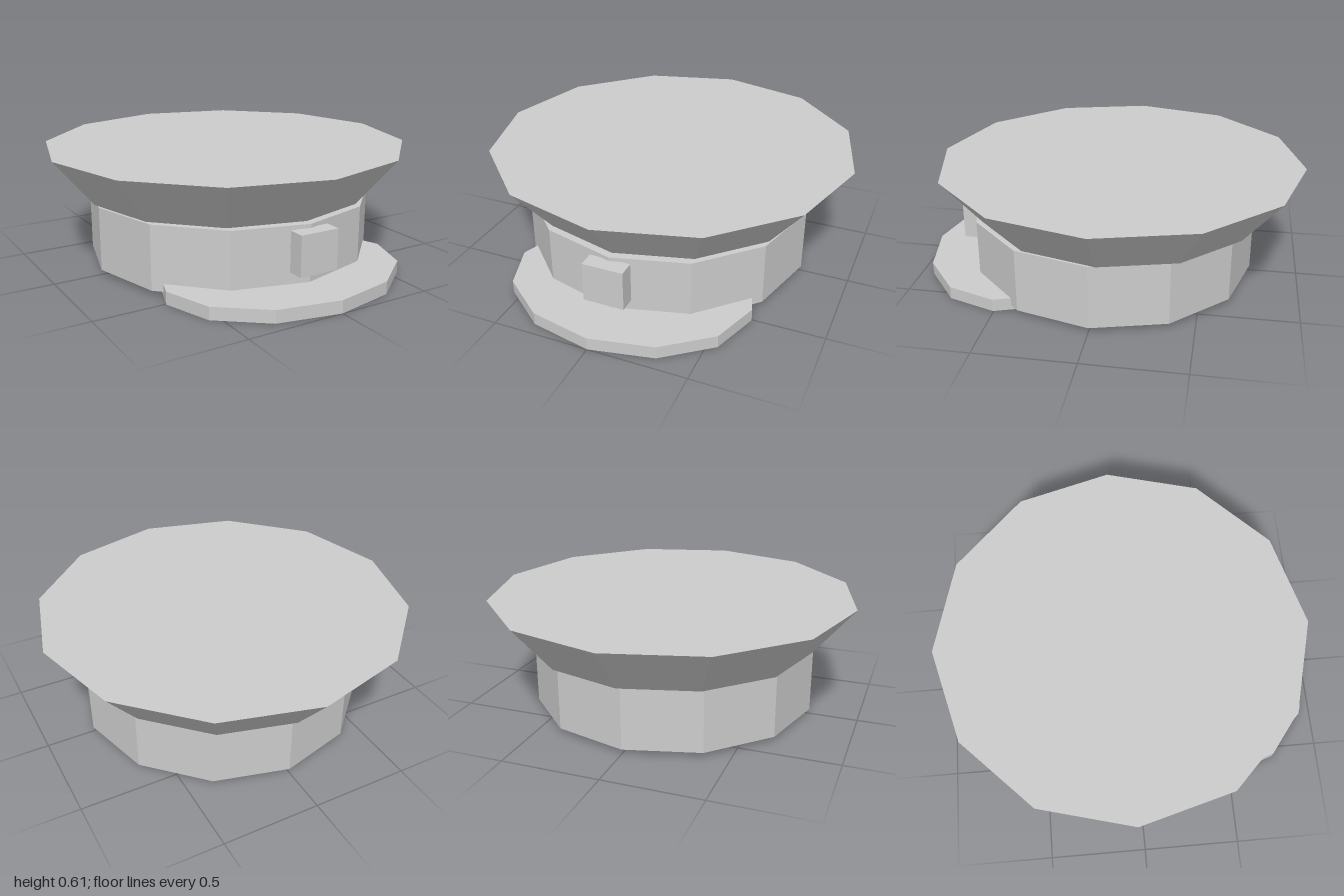
import * as THREE from 'three';

export function createModel() {
  const cap = new THREE.Group();
  cap.name = 'peakedCap';
  const grey = new THREE.MeshStandardMaterial({ color: 0xcccccc, flatShading: true });
  grey.name = 'light grey';

  const add = (name, geometry, y, z) => {
    const mesh = new THREE.Mesh(geometry, grey);
    mesh.name = name;
    mesh.position.set(0, y, z);
    cap.add(mesh);
    return mesh;
  };

  // Twelve-sided disc or cone between two heights
  const disc = (name, topRadius, bottomRadius, y0, y1, z) =>
    add(name, new THREE.CylinderGeometry(topRadius, bottomRadius, y1 - y0, 12), (y0 + y1) / 2, z);

  // Flared crown, set slightly back on the band
  disc('crown', 0.96, 0.753, 0.358, 0.605, -0.04);

  // Upright head band
  disc('band', 0.75, 0.75, 0.025, 0.355, 0);

  // Flat oval peak, half tucked under the band
  const peak = disc('peak', 1, 1, 0, 0.065, 0.504);
  peak.geometry.scale(0.637, 1, 0.496);

  // Square badge on the front of the band
  add('badge', new THREE.BoxGeometry(0.21, 0.205, 0.084), 0.232, 0.777);

  return cap;
}
